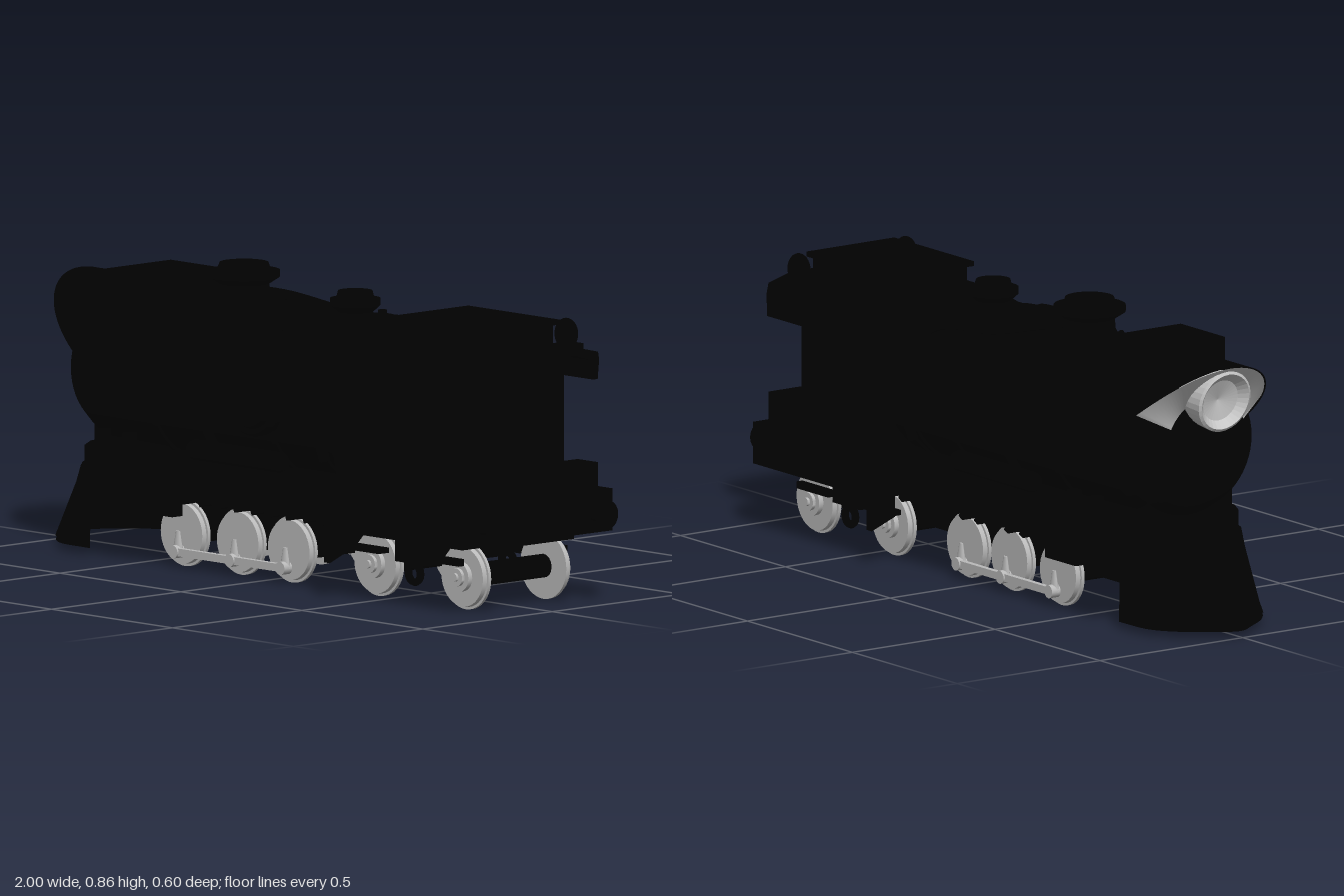
import * as THREE from 'three';
import { toCreasedNormals } from 'three/addons/utils/BufferGeometryUtils.js';

const mat = (name, color, side = THREE.FrontSide) => {
  const m = new THREE.MeshStandardMaterial({ color, side });
  m.name = name;
  return m;
};

export function createModel() {
  const black = mat('black iron', 0x010101, THREE.DoubleSide);
  const steel = mat('light steel', 0xbababa);
  const lampWhite = mat('lamp silver', 0xc8c8c8, THREE.DoubleSide);

  const root = new THREE.Group();
  root.name = 'locomotive';
  const body = new THREE.Group();
  body.name = 'body';
  body.position.z = -0.008;
  root.add(body);

  const add = (name, geo, m = black, x = 0, y = 0, z = 0) => {
    const mesh = new THREE.Mesh(geo, m);
    mesh.name = name;
    mesh.position.set(x, y, z);
    body.add(mesh);
    return mesh;
  };
  // box given by its limits
  const box = (name, x0, x1, y0, y1, z0, z1, m = black) =>
    add(name, new THREE.BoxGeometry(x1 - x0, y1 - y0, z1 - z0), m, (x0 + x1) / 2, (y0 + y1) / 2, (z0 + z1) / 2);
  const lathe = (pts, seg = 40) =>
    toCreasedNormals(new THREE.LatheGeometry(pts.map(p => new THREE.Vector2(...p)), seg), 0.6);
  const tube = (name, pts, r) =>
    add(name, new THREE.TubeGeometry(new THREE.CatmullRomCurve3(pts.map(p => new THREE.Vector3(...p))), 40, r, 8));
  const extrude = (pts, depth) =>
    new THREE.ExtrudeGeometry(new THREE.Shape(pts.map(p => new THREE.Vector2(...p))), { depth, bevelEnabled: false });
  // cross-section of (z, y) points, swept along x
  const sweepX = (pts, x0, x1) => extrude(pts, x1 - x0).rotateY(Math.PI / 2).translate(x0, 0, 0);
  // plan of (x, z) points, raised from y0 to y1
  const raise = (pts, y0, y1) => extrude(pts, y1 - y0).rotateX(-Math.PI / 2).translate(0, y0, 0);
  const mirrored = half => [...half, ...half.slice().reverse().filter(p => p[0] > 0).map(([z, y]) => [-z, y])];
  const both = h => [...h, ...h.slice(0, -1).reverse().map(([x, z]) => [x, -z])];

  // boiler with domed front, and its bands
  const CY = 0.53;
  add('boiler', lathe([[0, -0.875], [0.08, -0.87], [0.14, -0.84], [0.19, -0.795], [0.22, -0.74], [0.235, -0.7],
    [0.24, -0.4], [0.24, 0.44], [0, 0.44]], 56).rotateZ(-Math.PI / 2), black, 0, CY);
  for (const x of [-0.42, -0.2, 0.07, 0.26, 0.3])
    add('boilerBand', lathe([[0.236, -0.009], [0.247, -0.009], [0.247, 0.009], [0.236, 0.009]], 56).rotateZ(-Math.PI / 2), black, x, CY);

  // shell around the boiler axis: front and back rims given by rules of the angle from the top
  const arcShell = (half, frontAt, rFront, back, rBack) => {
    const g = new THREE.PlaneGeometry(1, 1, 48, 1), pos = g.attributes.position;
    for (let i = 0; i < pos.count; i++) {
      const a = (i % 49 / 24 - 1) * half, r = i < 49 ? rFront : rBack;
      pos.setXYZ(i, i < 49 ? frontAt(a) : back, r * Math.cos(a), r * Math.sin(a));
    }
    g.computeVertexNormals();
    return g;
  };
  const visorEdge = a => -0.958 + 0.158 * (a / 1.117) ** 2;
  add('visor', arcShell(1.45, visorEdge, 0.25, -0.42, 0.249), black, 0, CY);
  add('lampSurround', arcShell(1.1, a => visorEdge(a) + 0.004, 0.246, -0.842, 0.142), lampWhite, 0, CY);
  box('smokeHatch', -0.735, -0.525, 0.7, 0.81, -0.14, 0.14);

  // headlamp under the visor, leaning forward at the top
  const lamp = lathe([[0, -0.02], [0.06, -0.035], [0.082, -0.06], [0.09, -0.055], [0.085, 0], [0.065, 0.13], [0, 0.13]], 32)
    .rotateZ(-Math.PI / 2);
  const lp = lamp.attributes.position;
  for (let i = 0; i < lp.count; i++) if (lp.getX(i) < 0.05) lp.setX(i, lp.getX(i) - lp.getY(i) * 0.2);
  lamp.computeVertexNormals();
  add('headlamp', lamp, lampWhite, -0.87, 0.675);

  // domes
  const dome = (name, x, r, top) => add(name, lathe([[r * 0.95, -0.14], [r * 0.72, -0.09], [r * 0.7, -0.06], [r, -0.04],
    [r, -0.022], [r * 0.75, -0.02], [r * 0.68, 0], [0, 0.002]]), black, x, top, -0.005);
  dome('frontDome', -0.288, 0.102, 0.864);
  dome('rearDome', 0.172, 0.072, 0.832);
  add('whistle', new THREE.CylinderGeometry(0.013, 0.013, 0.08, 12), black, 0.29, 0.75);

  // domed pump drum on the left flank
  add('pumpDrum', lathe([[0.122, 0], [0.122, 0.05], [0.112, 0.064], [0.1, 0.058], [0.09, 0.075], [0, 0.1]])
    .rotateX(Math.PI / 2 + 0.06), black, 0.02, 0.55, 0.207);

  // front cowcatcher: pointed wedge between two outlines, with shallow ribs
  const outline = pts => new THREE.CatmullRomCurve3(pts.map(([x, z]) => new THREE.Vector3(x, 0, z)), false, 'centripetal');
  const low = outline(both([[-0.7, 0.205], [-0.83, 0.195], [-0.905, 0.145], [-0.962, 0.07], [-1, 0]]));
  const high = outline(both([[-0.7, 0.2], [-0.76, 0.18], [-0.82, 0.1], [-0.85, 0]]));
  const verts = [], idx = [], N = 60;
  for (let i = 0; i <= N; i++) {
    const a = low.getPointAt(i / N), b = high.getPointAt(i / N);
    verts.push(a.x, 0.025, a.z, b.x, 0.255, b.z);
    if (i < N) idx.push(i * 2, i * 2 + 1, i * 2 + 2, i * 2 + 1, i * 2 + 3, i * 2 + 2);
    if (i % 5 === 0 && i > 0 && i < N) {
      a.set(a.x + 0.004, 0.035, a.z * 0.98);
      b.set(b.x + 0.004, 0.25, b.z * 0.98);
      add('cowcatcherRib', new THREE.TubeGeometry(new THREE.LineCurve3(a, b), 1, 0.008, 6));
    }
  }
  const plow = new THREE.BufferGeometry();
  plow.setAttribute('position', new THREE.Float32BufferAttribute(verts, 3));
  plow.setIndex(idx);
  add('cowcatcher', toCreasedNormals(plow, 0.4));
  add('cowcatcherTop', raise(high.getPoints(24).map(q => [q.x, q.z]), 0.245, 0.257));

  // underframe and rounded front deck
  box('underframe', -0.62, 0.66, 0.115, 0.33, -0.142, 0.142);
  box('rearFrame', 0.6, 0.93, 0.19, 0.3, -0.142, 0.142);
  box('frontFrame', -0.72, -0.6, 0.15, 0.31, -0.13, 0.13);
  add('frontDeck', raise(both([[-0.55, 0.2], [-0.7, 0.2], [-0.76, 0.17], [-0.81, 0.1], [-0.83, 0]]), 0.255, 0.31));
  box('saddle', -0.75, -0.4, 0.27, 0.4, -0.14, 0.14);

  // narrow cab behind a wide collar, overhanging roof and rear platform
  box('cab', 0.43, 0.845, 0.3, 0.72, -0.182, 0.182);
  add('cabCollar', sweepX(mirrored([[0.24, 0.3], [0.262, 0.4], [0.277, 0.51], [0.272, 0.58], [0.256, 0.64], [0.225, 0.7], [0.15, 0.735], [0, 0.74]]), 0.37, 0.5));
  const roof = sweepX([[0.268, 0.63], [0.25, 0.69], [0.236, 0.715], [0.15, 0.735], [-0.15, 0.735], [-0.236, 0.715], [-0.25, 0.69], [-0.268, 0.63],
    [-0.25, 0.63], [-0.225, 0.69], [-0.15, 0.712], [0.15, 0.712], [0.225, 0.69], [0.25, 0.63]], 0.48, 0.935);
  const rp = roof.attributes.position;
  for (let i = 0; i < rp.count; i++) if (rp.getX(i) > 0.7) rp.setX(i, rp.getX(i) + (rp.getY(i) - 0.73) * 0.42);
  add('cabRoof', roof);
  box('roofBox', 0.5, 0.84, 0.7, 0.795, -0.145, 0.145);
  box('roofBoxLid', 0.48, 0.86, 0.793, 0.807, -0.154, 0.154);
  box('cabPlatform', 0.36, 0.93, 0.2, 0.32, -0.29, 0.29);
  box('rearRail', 0.845, 0.93, 0.3, 0.4, -0.235, 0.235);
  add('rearBumper', raise([[0.92, -0.25], [0.945, -0.19], [0.965, -0.11], [0.965, 0.11], [0.945, 0.19], [0.92, 0.25]], 0.235, 0.3));
  box('rearDoorFrame', 0.845, 0.852, 0.4, 0.66, -0.06, 0.06);

  for (const s of [1, -1]) {
    // window frames on the cab wall
    for (const x of [0.56, 0.74]) {
      for (const dx of [-0.06, 0.06]) box('windowPost', x + dx - 0.007, x + dx + 0.007, 0.46, 0.65, s * 0.184 - 0.008, s * 0.184 + 0.008);
      box('windowSill', x - 0.067, x + 0.067, 0.45, 0.465, s * 0.186 - 0.012, s * 0.186 + 0.012);
    }
    // roof lamps on brackets
    const lampBall = add('roofLamp', new THREE.SphereGeometry(0.045, 24, 16), black, 0.85, 0.763, s * 0.187);
    lampBall.scale.set(0.85, 1, 0.65);
    box('roofLampBracket', 0.82, 0.88, 0.71, 0.735, s * 0.185 - 0.04, s * 0.185 + 0.04);
    // buffers
    add('bufferStem', new THREE.CylinderGeometry(0.022, 0.022, 0.06, 16).rotateZ(Math.PI / 2), black, 0.955, 0.258, s * 0.21);
    add('bufferPlate', new THREE.CylinderGeometry(0.042, 0.036, 0.014, 20).rotateZ(-Math.PI / 2), black, 0.988, 0.258, s * 0.21);
    // running board with slanted louvres beneath
    box('runningBoard', -0.6, 0.37, 0.295, 0.312, s * 0.18 - 0.06, s * 0.18 + 0.06);
    box('sideSkirt', -0.66, 0.37, 0.2, 0.3, s * 0.165 - 0.035, s * 0.165 + 0.035);
    for (let x = -0.3; x < 0.36; x += 0.072)
      add('louvre', new THREE.BoxGeometry(0.02, 0.11, 0.05), black, x, 0.25, s * 0.212).rotation.z = 0.45;
    // cylinder block, posts and tank
    box('cylinderBlock', -0.67, -0.36, 0.19, 0.28, s * 0.19 - 0.045, s * 0.19 + 0.045);
    box('crossheadGuide', -0.5, -0.355, 0.15, 0.19, s * 0.19 - 0.02, s * 0.19 + 0.02);
    for (const x of [-0.62, -0.515])
      add('valvePost', new THREE.CylinderGeometry(0.02, 0.02, 0.18, 14), black, x, 0.285, s * 0.225);
    add('airTank', new THREE.CapsuleGeometry(0.03, 0.34, 6, 14).rotateZ(Math.PI / 2), black, -0.1, 0.35, s * 0.195);
    // pipes hugging the boiler
    tube('steamPipe', [[-0.24, 0.785, s * 0.03], [-0.17, 0.772, s * 0.08], [-0.02, 0.738, s * 0.14], [0.2, 0.715, s * 0.175],
      [0.265, 0.66, s * 0.22], [0.275, 0.53, s * 0.256], [0.275, 0.38, s * 0.21]], 0.015);
    tube('bandPipe', [[-0.2, 0.72, s * 0.165], [-0.2, 0.62, s * 0.238], [-0.2, 0.5, s * 0.25], [-0.2, 0.36, s * 0.19]], 0.014);
    // cab steps
    add('stepPlate', sweepX([[s * 0.21, 0.21], [s * 0.292, 0.21], [s * 0.292, 0.106], [s * 0.21, 0.138]], 0.36, 0.385));
    box('stepTread', 0.36, 0.52, 0.14, 0.155, s * 0.21 - 0.02, s * 0.21 + 0.02);
    box('truckBar', 0.68, 0.83, 0.135, 0.155, s * 0.2 - 0.01, s * 0.2 + 0.01);
    box('truckHanger', 0.55, 0.68, 0.12, 0.2, s * 0.18 - 0.015, s * 0.18 + 0.015);
    add('hangerLoop', new THREE.TorusGeometry(0.025, 0.011, 8, 16), black, 0.615, 0.09, s * 0.18);

    // wheels: flange, flat disc, hub
    for (const [i, x] of [-0.36, -0.128, 0.083, 0.44, 0.8].entries()) {
      const turn = g => g.rotateX(s * Math.PI / 2);
      add('wheelFlange', turn(new THREE.CylinderGeometry(0.095, 0.095, 0.01, 40)), steel, x, 0.1, s * 0.15);
      add('wheel', turn(new THREE.CylinderGeometry(0.086, 0.088, 0.016, 40)), steel, x, 0.1, s * 0.161);
      if (i < 3) {
        const crank = add('crank', new THREE.CylinderGeometry(0.008, 0.02, 0.06, 12), steel, x, 0.078, s * 0.182);
        crank.scale.z = 0.5;
        add('crankPin', turn(new THREE.CylinderGeometry(0.019, 0.019, 0.03, 16)), steel, x, 0.05, s * 0.188);
      } else {
        add('wheelHub', turn(lathe([[0.042, 0], [0.042, 0.022], [0.026, 0.022], [0.026, 0.032], [0.012, 0.032],
          [0.012, 0.04], [0, 0.04]], 24)), steel, x, 0.1, s * 0.162);
      }
    }
    box('couplingRod', -0.36, 0.083, 0.039, 0.061, s * 0.19 - 0.008, s * 0.19 + 0.008, steel);
  }
  // axles
  for (const x of [-0.36, -0.128, 0.083, 0.44, 0.8])
    add('axle', new THREE.CylinderGeometry(0.034, 0.034, 0.29, 16).rotateX(Math.PI / 2), black, x, 0.1);
  return root;
}
